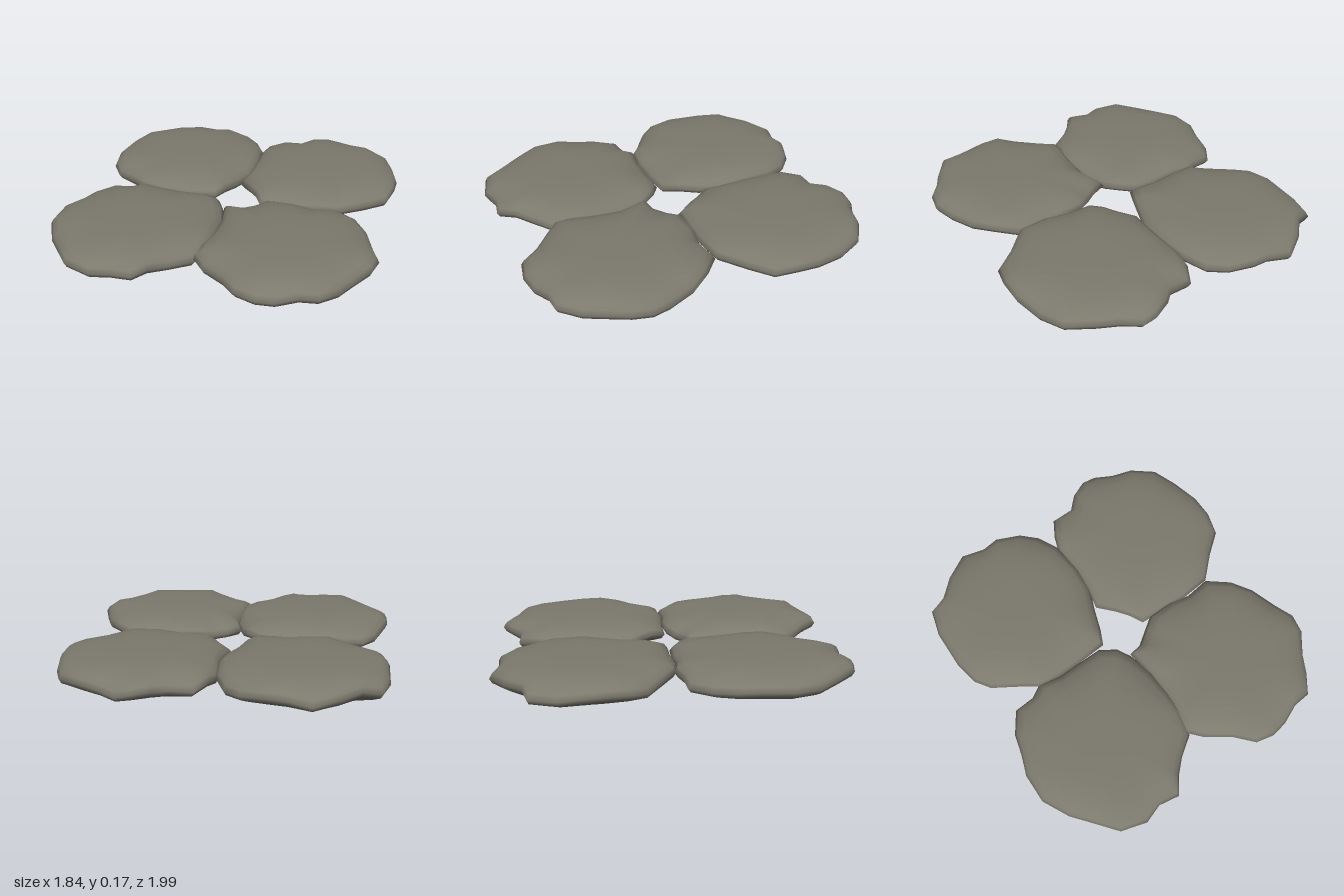
import * as THREE from 'three';

// Stone outlines as x, z pairs, clockwise seen from above
const backRight = [-0.91, -0.62, -0.87, -0.77, -0.77, -0.8, -0.67, -0.9, -0.53, -0.99, -0.4, -0.95, -0.3, -0.96,
  -0.16, -0.91, -0.07, -0.83, -0.01, -0.7, 0.01, -0.5, 0, -0.35, -0.05, -0.22, -0.09, -0.1, -0.13, -0.01,
  -0.3, 0, -0.45, 0.01, -0.58, 0, -0.66, -0.06, -0.82, -0.16, -0.88, -0.24, -0.91, -0.38];
const backLeft = [0.01, -0.77, 0.07, -0.88, 0.2, -0.88, 0.27, -0.95, 0.37, -1, 0.45, -1, 0.55, -0.94, 0.67, -0.9,
  0.8, -0.81, 0.86, -0.67, 0.9, -0.5, 0.9, -0.37, 0.87, -0.24, 0.75, -0.14, 0.62, -0.01, 0.45, 0.01,
  0.3, 0, 0.15, 0, 0.1, -0.08, 0.05, -0.15, -0.03, -0.24, -0.01, -0.36, 0, -0.5, -0.02, -0.68];
const frontRight = [-0.77, 0.04, -0.65, 0.03, -0.58, -0.01, -0.45, 0.01, -0.3, 0, -0.17, 0, -0.08, 0.06, -0.03, 0.14,
  0.01, 0.28, 0.02, 0.45, 0.02, 0.58, -0.02, 0.72, -0.13, 0.8, -0.21, 0.88, -0.27, 0.97, -0.39, 0.95,
  -0.5, 0.99, -0.65, 0.95, -0.74, 0.84, -0.84, 0.72, -0.92, 0.57, -0.92, 0.4, -0.88, 0.28, -0.85, 0.16];
const frontLeft = [-0.03, 0.13, 0.05, 0.11, 0.13, 0.05, 0.2, 0, 0.35, -0.01, 0.48, 0.01, 0.62, -0.01, 0.74, 0.09,
  0.82, 0.2, 0.88, 0.36, 0.92, 0.47, 0.9, 0.58, 0.82, 0.7, 0.77, 0.8, 0.69, 0.91, 0.59, 0.92,
  0.48, 0.97, 0.38, 0.99, 0.27, 0.97, 0.18, 0.87, 0.04, 0.77, -0.03, 0.7, -0.02, 0.6, 0, 0.45, 0, 0.3];

// Cross-section from underside to top: share of the outline, height
const profile = [[0.3, 0.002], [0.55, 0.006], [0.75, 0.02], [0.89, 0.042], [0.97, 0.062], [1, 0.088],
  [0.97, 0.115], [0.9, 0.137], [0.76, 0.154], [0.56, 0.166], [0.3, 0.169]];

function stoneGeometry(outline, cx, cz) {
  const n = outline.length / 2;
  const positions = [];
  const index = [];
  for (const [s, y] of profile) {
    for (let k = 0; k < n; k++) {
      const dx = outline[2 * k] - cx;
      const dz = outline[2 * k + 1] - cz;
      // inner rings grow rounder, the rim rises and dips a little
      const r = Math.hypot(dx, dz);
      const round = THREE.MathUtils.lerp(0.49 / r, 1, Math.min(1, s * s));
      const wobble = 0.012 * Math.sin(k * 1.7 + cx * 5) * Math.max(0, s - 0.7) / 0.3;
      positions.push(cx + dx * s * round, y + wobble, cz + dz * s * round);
    }
  }
  const bottom = positions.length / 3;
  positions.push(cx, 0, cz, cx, 0.17, cz);
  const last = (profile.length - 1) * n;
  for (let k = 0; k < n; k++) {
    const next = (k + 1) % n;
    for (let row = 0; row < last; row += n) {
      const a = row + k, b = row + next;
      index.push(a, a + n, b, b, a + n, b + n);
    }
    index.push(bottom, k, next, bottom + 1, last + next, last + k);
  }
  const geometry = new THREE.BufferGeometry();
  geometry.setAttribute('position', new THREE.Float32BufferAttribute(positions, 3));
  geometry.setIndex(index);
  geometry.computeVertexNormals();
  return geometry;
}

export function createModel() {
  const group = new THREE.Group();
  group.name = 'steppingStones';
  const stone = new THREE.MeshStandardMaterial({ color: 0x7c796d });
  stone.name = 'grey stone';
  const stones = [
    ['backRightStone', backRight, -0.45, -0.49],
    ['backLeftStone', backLeft, 0.44, -0.49],
    ['frontRightStone', frontRight, -0.45, 0.49],
    ['frontLeftStone', frontLeft, 0.44, 0.49],
  ];
  for (const [name, outline, cx, cz] of stones) {
    const mesh = new THREE.Mesh(stoneGeometry(outline, cx, cz), stone);
    mesh.name = name;
    group.add(mesh);
  }
  return group;
}
